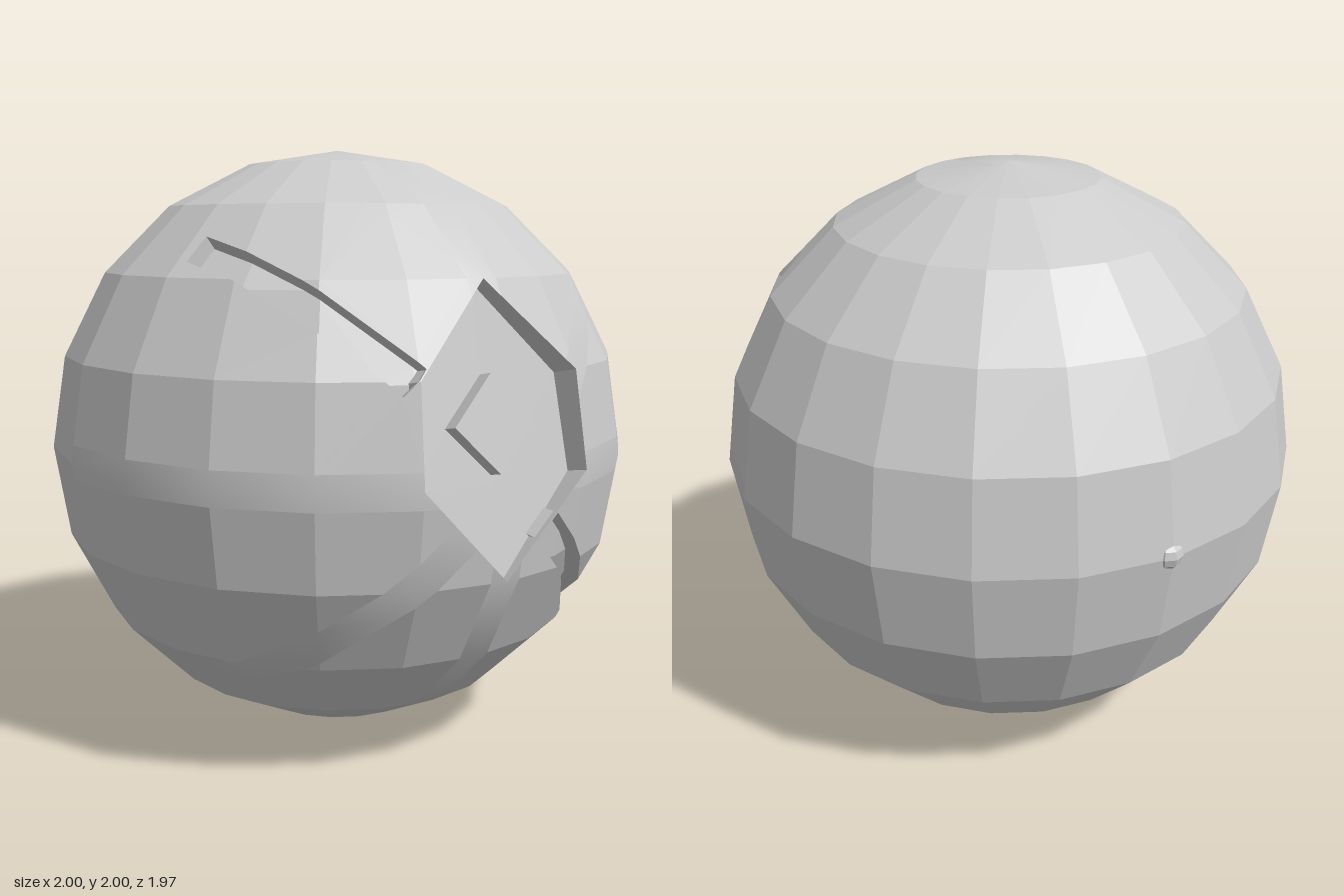
import * as THREE from 'three';

const CENTRE = new THREE.Vector3(0, 1, 0.025);
const EPS = 1e-6;
const grey = (flat) => new THREE.MeshStandardMaterial({ color: 0xcccccc, flatShading: flat, side: THREE.DoubleSide });

// Faceted ball as a list of flat polygons: 20 sectors by 10 rings
function ballFaces() {
  const faces = [];
  const at = (ring, sector) => {
    const p = (ring / 10) * Math.PI, t = (sector / 20) * Math.PI * 2;
    return new THREE.Vector3(Math.sin(p) * Math.sin(t), Math.cos(p), Math.sin(p) * Math.cos(t)).add(CENTRE);
  };
  for (let r = 0; r < 10; r++) {
    for (let s = 0; s < 20; s++) {
      const face = [];
      if (r < 9) face.push(at(r + 1, s), at(r + 1, s + 1));
      else face.push(at(10, s));
      if (r > 0) face.push(at(r, s + 1), at(r, s));
      else face.push(at(0, s));
      faces.push(face);
    }
  }
  return faces;
}

// Split a convex polygon where f changes sign; returns [f > 0 part, f < 0 part]
function split(poly, f) {
  const parts = [[], []];
  poly.forEach((a, i) => {
    const b = poly[(i + 1) % poly.length], fa = f(a), fb = f(b);
    if (fa > -EPS) parts[0].push(a);
    if (fa < EPS) parts[1].push(a);
    if ((fa > EPS && fb < -EPS) || (fa < -EPS && fb > EPS)) {
      const m = a.clone().lerp(b, fa / (fa - fb));
      parts[0].push(m);
      parts[1].push(m);
    }
  });
  return [
    parts[0].some((p) => f(p) > EPS) ? parts[0] : null,
    parts[1].some((p) => f(p) < -EPS) ? parts[1] : null,
  ];
}

// Half planes of a counterclockwise outline in xy, positive inside
const halfPlanes = (outline) => outline.map(([ax, ay], i) => {
  const [bx, by] = outline[(i + 1) % outline.length];
  const l = Math.hypot(bx - ax, by - ay);
  return (p) => ((bx - ax) * (p.y - ay) - (by - ay) * (p.x - ax)) / l;
});

// Cut the front of the shell along an outline: what remains, and what was cut
function cut(faces, planes) {
  const rest = [], inside = [];
  for (const face of faces) {
    const z = face.reduce((sum, p) => sum + p.z, 0) / face.length;
    if (z < CENTRE.z) { rest.push(face); continue; }
    let piece = face;
    for (const f of planes) {
      const [inner, outer] = split(piece, f);
      if (outer) rest.push(outer);
      piece = inner;
      if (!piece) break;
    }
    if (piece) inside.push(piece);
  }
  return { rest, inside };
}

// Sink cut pieces by a rule and wall in their border
function sink(inside, planes, push) {
  const faces = [];
  for (const piece of inside) {
    faces.push(piece.map(push));
    piece.forEach((a, i) => {
      const b = piece[(i + 1) % piece.length];
      if (planes.some((f) => Math.abs(f(a)) < 1e-5 && Math.abs(f(b)) < 1e-5)) {
        faces.push([a, b, push(b), push(a)]);
      }
    });
  }
  return faces;
}

// Mesh from polygons, with round normals when smooth
function meshOf(name, faces, smooth = false) {
  const pos = [], nor = [];
  for (const face of faces) {
    for (let i = 1; i < face.length - 1; i++) {
      for (const p of [face[0], face[i], face[i + 1]]) {
        pos.push(p.x, p.y, p.z);
        nor.push(...p.clone().sub(CENTRE).normalize().toArray());
      }
    }
  }
  const g = new THREE.BufferGeometry();
  g.setAttribute('position', new THREE.Float32BufferAttribute(pos, 3));
  g.setAttribute('normal', new THREE.Float32BufferAttribute(nor, 3));
  if (!smooth) g.computeVertexNormals();
  const mesh = new THREE.Mesh(g, grey(!smooth));
  mesh.name = name;
  return mesh;
}

// Radial strip outline around the front centre
function strip(degrees, r0, r1, width) {
  const a = THREE.MathUtils.degToRad(degrees), c = Math.cos(a), s = Math.sin(a), h = width / 2;
  return [[r0, -h], [r1, -h], [r1, h], [r0, h]].map(([u, v]) => [u * c - v * s, 1 + u * s + v * c]);
}

export function createModel() {
  const group = new THREE.Group();
  let shell = ballFaces();
  const take = (outline) => {
    const planes = halfPlanes(outline);
    const { rest, inside } = cut(shell, planes);
    shell = rest;
    return { planes, inside };
  };

  // Six-sided recess with a floor that leans back
  const normal = new THREE.Vector3(0, 0.2, 1).normalize();
  const floorPlane = new THREE.Plane().setFromNormalAndCoplanarPoint(normal, new THREE.Vector3(0, 0.69, 0.95));
  const hex = take([[0, 0.691], [0.309, 1], [0.294, 1.309], [0, 1.588], [-0.294, 1.309], [-0.309, 1]]);
  group.add(meshOf('frontRecess', sink(hex.inside, hex.planes, (p) => floorPlane.projectPoint(p, new THREE.Vector3()))));

  // Raised diamond on the recess floor
  const diamond = new THREE.Mesh(new THREE.BoxGeometry(0.215, 0.215, 0.07).rotateZ(Math.PI / 4), grey(true));
  diamond.name = 'diamondStud';
  diamond.position.copy(floorPlane.projectPoint(new THREE.Vector3(0, 1.16, 0.9), new THREE.Vector3()))
    .addScaledVector(normal, 0.015);
  diamond.rotation.x = -Math.atan(0.2);
  group.add(diamond);

  // Two diagonal trenches
  for (const [angle, r0, r1] of [[-45, 0.225, 0.866], [135, 0.43, 0.95]]) {
    const t = take(strip(angle, r0, r1, 0.107));
    const push = (p) => p.clone().sub(CENTRE).multiplyScalar(0.945).add(CENTRE);
    group.add(meshOf('diagonalTrench', sink(t.inside, t.planes, push)));
  }

  // Flush, softly shaded bands: a cross and the other diagonal
  for (const angle of [0, 90, 180, 270, 45, 225]) {
    const diagonal = angle % 90 !== 0;
    group.add(meshOf('flushBand', take(strip(angle, 0.2, diagonal ? 0.92 : 1.02, 0.11)).inside, true));
  }

  // Faceted outer shell
  group.add(meshOf('shell', shell));

  // Small knob at the middle of the back
  const knob = new THREE.Mesh(new THREE.SphereGeometry(0.05, 8, 6), grey(true));
  knob.name = 'rearKnob';
  knob.position.set(0, 1, -0.94);
  group.add(knob);
  return group;
}
